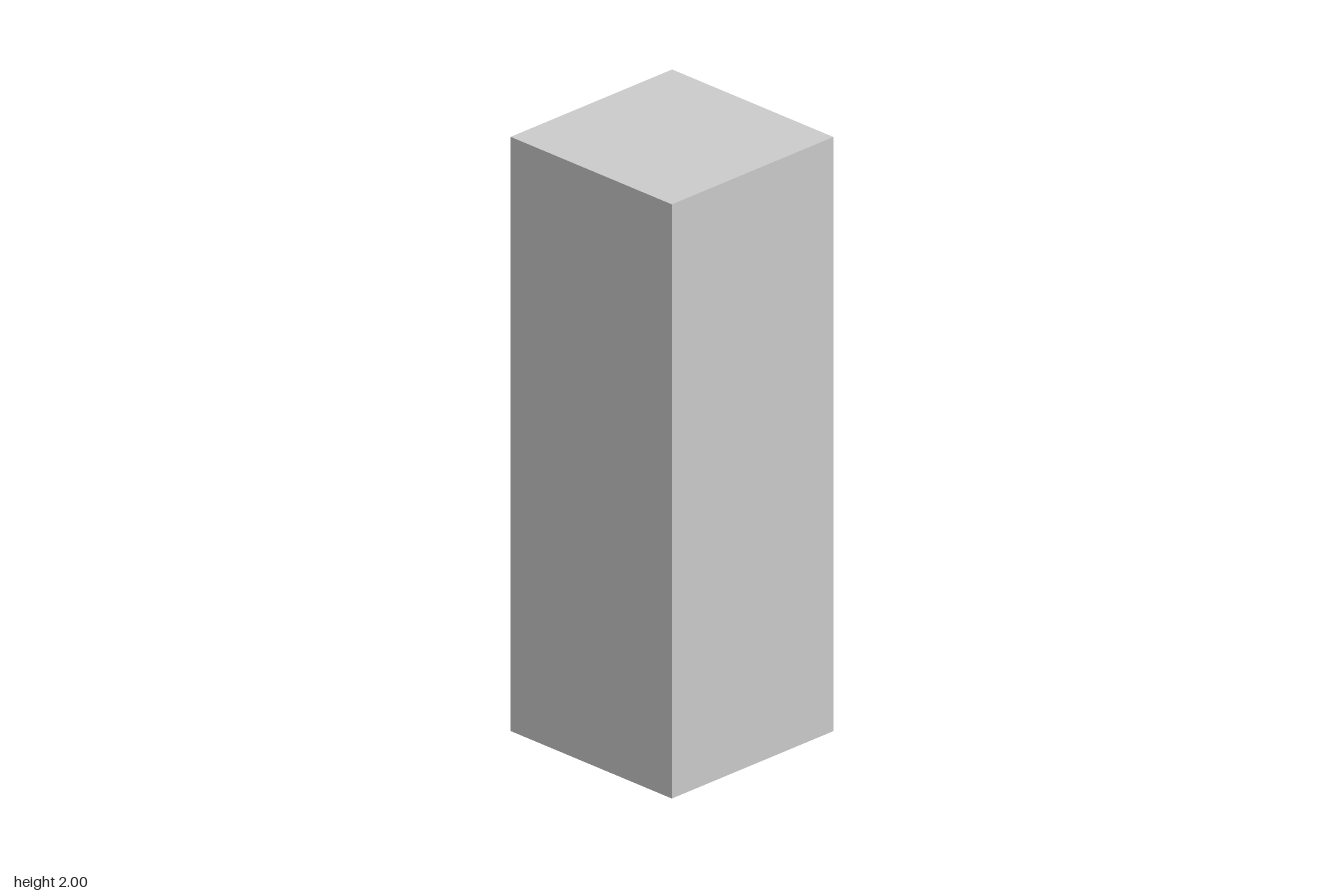
import * as THREE from 'three';

const W = 0.698, H = 2, D = 0.698;              // outer cabinet
const DOOR_W = 0.62, DOOR_Y0 = 0.175, DOOR_Y1 = 1.947;
const DOOR_H = DOOR_Y1 - DOOR_Y0, DOOR_Y = (DOOR_Y0 + DOOR_Y1) / 2;
const FACE = -D / 2;                            // plane of the door side
const RECESS = 0.025, POCKET = 0.04;

const metal = new THREE.MeshStandardMaterial({ color: 0xcccccc, side: THREE.DoubleSide });
const black = new THREE.MeshStandardMaterial({ color: 0x050505 });

// Box without its -z face (the last six indices)
function openBox(w, h, d) {
  const g = new THREE.BoxGeometry(w, h, d);
  g.setIndex(Array.from(g.index.array).slice(0, 30));
  g.clearGroups();
  return g;
}

export function createModel() {
  const locker = new THREE.Group();
  locker.name = 'locker';

  function add(name, geometry, material, x, y, z) {
    const mesh = new THREE.Mesh(geometry, material);
    mesh.name = name;
    mesh.position.set(x, y, z);
    locker.add(mesh);
  }

  // Cabinet shell, open on the door side
  add('cabinet', openBox(W, H, D), metal, 0, H / 2, 0);

  // Flat frame around the door opening
  const rect = (Type, w, y0, y1) => new Type([
    new THREE.Vector2(-w / 2, y0), new THREE.Vector2(w / 2, y0),
    new THREE.Vector2(w / 2, y1), new THREE.Vector2(-w / 2, y1),
  ]);
  const outline = rect(THREE.Shape, W, 0, H);
  outline.holes.push(rect(THREE.Path, DOOR_W, DOOR_Y0, DOOR_Y1));
  add('doorFrame', new THREE.ShapeGeometry(outline).rotateY(Math.PI), metal, 0, 0, FACE);

  // Jambs lining the opening, with the door set back inside
  add('doorJambs', openBox(DOOR_W, DOOR_H, POCKET), metal, 0, DOOR_Y, FACE + POCKET / 2);
  const thickness = POCKET - RECESS - 0.001;
  add('door', new THREE.BoxGeometry(DOOR_W, DOOR_H, thickness), metal,
    0, DOOR_Y, FACE + RECESS + thickness / 2);

  // Ventilation slots: three at the top, two at the bottom
  [1.835, 1.754, 1.673, 0.355, 0.261].forEach((y) =>
    add('vent', new THREE.BoxGeometry(0.346, 0.041, 0.004), black, -0.02, y, FACE + RECESS));

  // Handle
  add('handle', new THREE.BoxGeometry(0.042, 0.18, 0.014), black, 0.244, 1.09, FACE + RECESS - 0.005);

  return locker;
}
